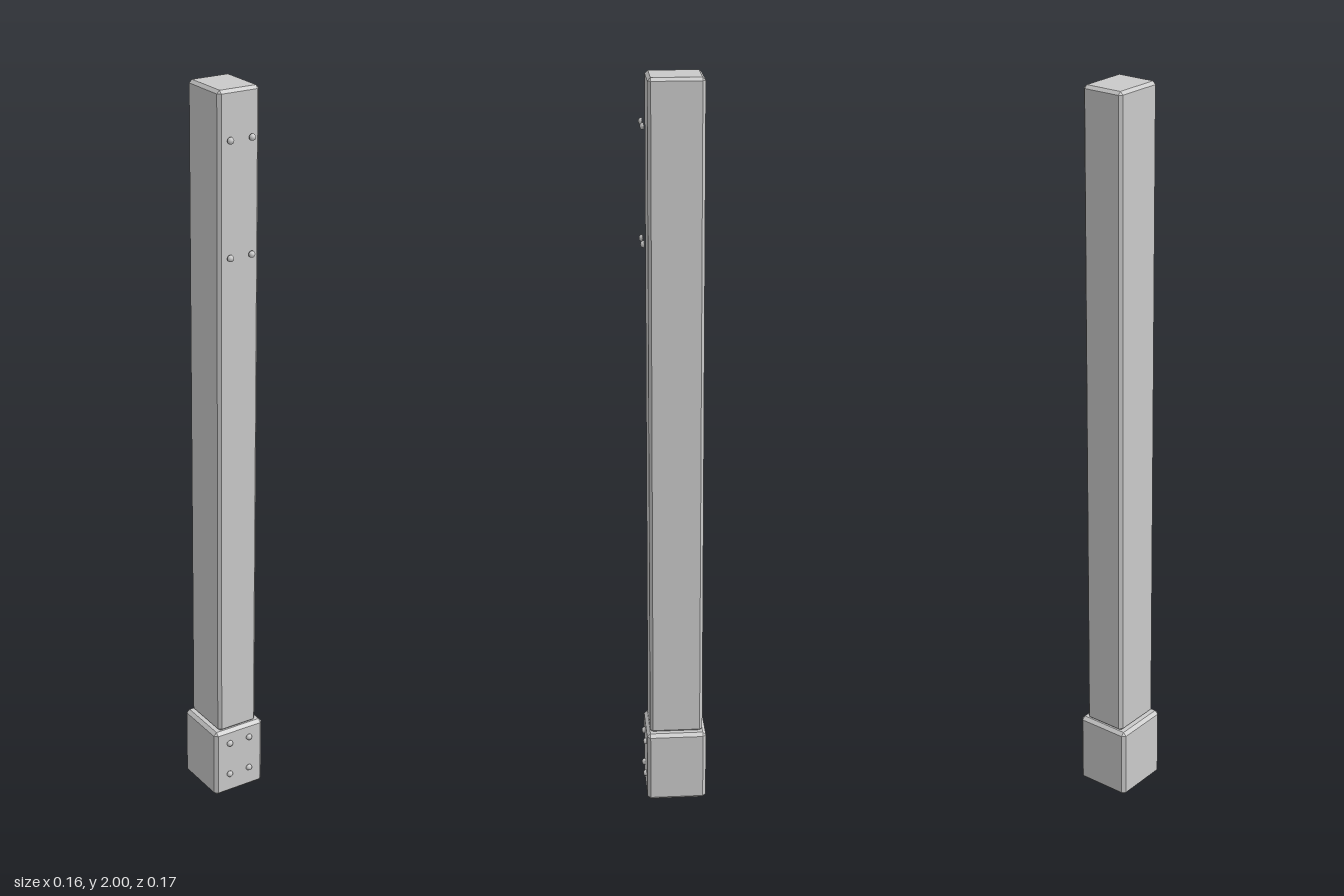
import * as THREE from 'three';
import { ConvexGeometry } from 'three/addons/geometries/ConvexGeometry.js';

const steel = new THREE.MeshStandardMaterial({ color: 0xcacaca });
steel.name = 'grey steel';

// Box between two corners with every edge and corner chamfered by c
function chamferedBox(name, min, max, c) {
  const centre = min.map((v, i) => (v + max[i]) / 2);
  const half = min.map((v, i) => (max[i] - v) / 2);
  const points = [];
  for (const sx of [-1, 1]) for (const sy of [-1, 1]) for (const sz of [-1, 1]) {
    const s = [sx, sy, sz];
    for (let face = 0; face < 3; face++) {
      // The point keeps full reach on one axis and is inset on the other two
      const p = s.map((sign, i) => centre[i] + sign * (half[i] - (i === face ? 0 : c)));
      points.push(new THREE.Vector3(...p));
    }
  }
  const mesh = new THREE.Mesh(new ConvexGeometry(points), steel);
  mesh.name = name;
  return mesh;
}

// Low domed head with a closed back, facing +z
function boltGeometry() {
  const profile = [[0, 0], [0.009, 0], [0.009, 0.003], [0.0078, 0.0065], [0.0045, 0.0092], [0, 0.01]]
    .map(([r, y]) => new THREE.Vector2(r, y));
  return new THREE.LatheGeometry(profile, 16).rotateX(Math.PI / 2);
}

export function createModel() {
  const model = new THREE.Group();
  model.name = 'post';

  // Foot block and tall shaft
  model.add(chamferedBox('base', [-0.078, 0, -0.087], [0.078, 0.203, 0.075], 0.009));
  model.add(chamferedBox('shaft', [-0.06, 0.2, -0.078], [0.06, 2, 0.066], 0.008));

  // Four pairs of bolts, all in one plane at the front
  const bolts = new THREE.Group();
  bolts.name = 'bolts';
  const head = boltGeometry();
  for (const y of [0.061, 0.161, 1.577, 1.877]) {
    for (const x of [-0.032, 0.031]) {
      const bolt = new THREE.Mesh(head, steel);
      bolt.name = 'bolt';
      bolt.position.set(x, y, 0.074);
      bolts.add(bolt);
    }
  }
  model.add(bolts);
  return model;
}
